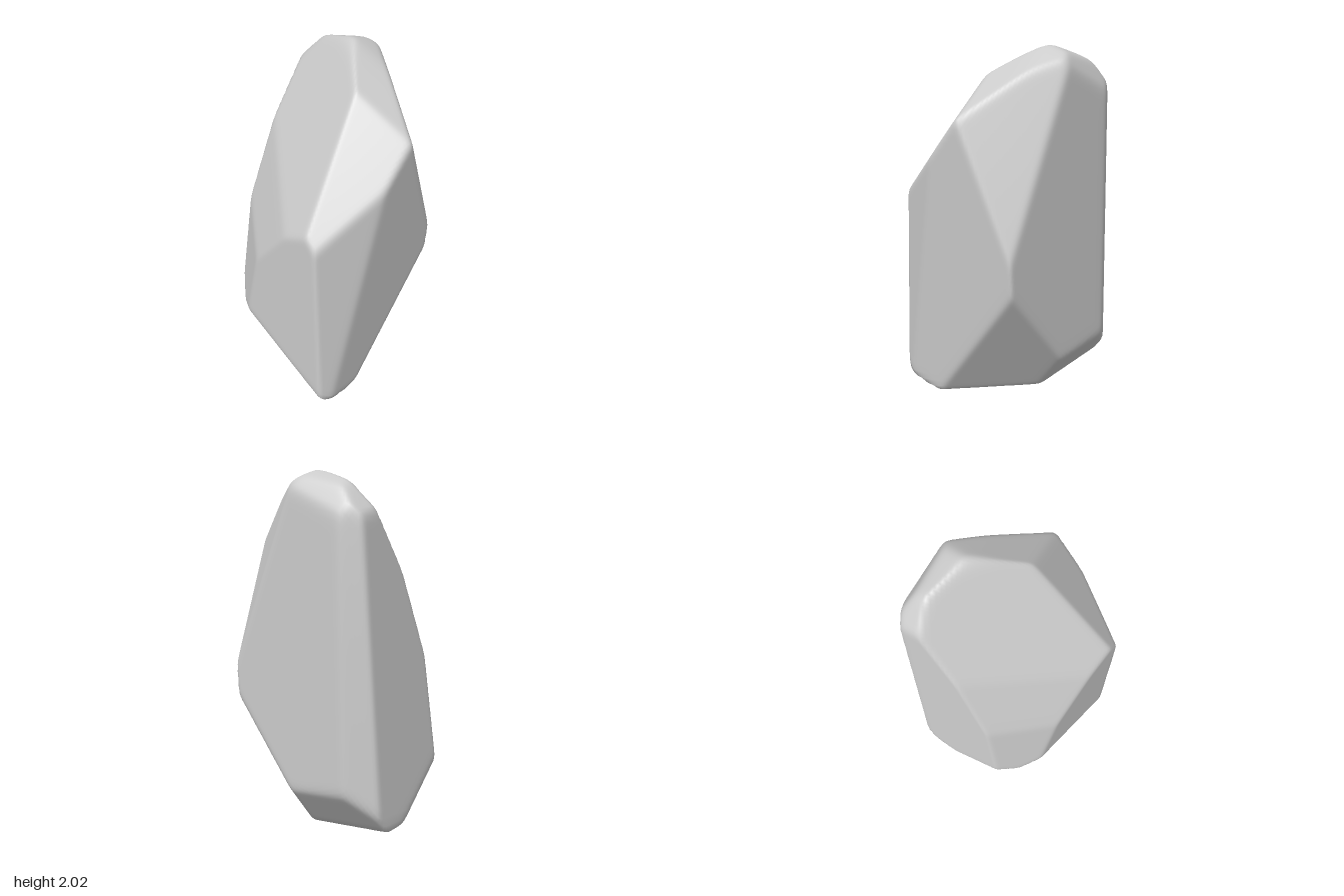
import * as THREE from 'three';
import { mergeVertices } from 'three/addons/utils/BufferGeometryUtils.js';

const CENTRE = new THREE.Vector3(0, 0.95, 0);
const SHARPNESS = 90; // higher gives crisper edges between facets

// Corners shared by several facets
const leftCorner = [-0.535, 0.37, 0.13];
const frontFoot = [0.32, 0.06, 0.515];
const frontShoulder = [0.28, 1.26, 0.505];
const frontKnee = [-0.33, 0.33, 0.35];
const rightShoulder = [0.535, 1.64, -0.03];
const waist = [0.52, 0.85, -0.35];
const backFoot = [0.11, 0.28, -0.475];
const underside = [0.15, 0, -0.26];
const apex = [0.02, 2.015, -0.28];
const leftCrown = [-0.24, 1.95, -0.32];
const rightBrow = [0.2, 1.79, 0.045];
const foreBrow = [0.13, 1.91, -0.06];

// Each facet is a plane through three points
const facets = [
  [frontFoot, frontShoulder, frontKnee], // lower front
  [leftCorner, frontKnee, [-0.46, 0.98, 0.09]], // lower front left
  [[-0.455, 0.97, 0.095], [-0.415, 1.31, -0.04], [-0.1, 0.92, 0.425]], // middle front left
  [frontShoulder, rightBrow, [-0.4, 1.4, -0.06]], // leaning upper front
  [[0.18, 1.63, 0.185], rightBrow, rightShoulder], // right slope
  [[0.06, 1.99, -0.25], rightShoulder, foreBrow], // upper right slope
  [frontFoot, frontShoulder, [0.43, 1.35, 0.27]], // front right bevel
  [[0.39, 0.3, 0.4], rightShoulder, waist], // right side
  [[0.515, 0.98, -0.34], rightShoulder, [0.1, 1.91, -0.43]], // upper back right
  [[0.52, 0.73, -0.35], backFoot, [0.44, 0.27, 0]], // lower back right
  [[-0.25, 1.7, -0.515], [0.51, 0.87, -0.365], [-0.25, 0.4, -0.515]], // back
  [[-0.44, 0.3, -0.45], [-0.35, 1.75, -0.465], [-0.28, 0.4, -0.515]], // back left bevel
  [leftCorner, [-0.445, 0.3, -0.46], [-0.355, 1.75, -0.48]], // left side
  [leftCorner, [-0.395, 0.12, 0.146], [-0.465, 0.1, -0.1]], // lower left
  [frontKnee, frontFoot, [-0.17, 0.05, 0.24]], // front undercut
  [backFoot, [-0.4, 0.24, -0.5], underside], // back undercut
  [[0.3, -0.01, 0.4], [-0.43, 0.07, 0.1], underside], // base
  [[0.3, 0.04, 0.505], [0.3, -0.01, 0.33], [0, 0.02, 0.33]], // base front
  [[-0.355, 1.8, -0.36], leftCrown, [-0.3, 1.8, -0.49]], // top left
  [apex, leftCrown, [0, 1.96, -0.42]], // crown
  [apex, leftCrown, foreBrow], // crown front
  [apex, [0.13, 1.955, -0.25], [0.1, 1.935, -0.42]], // crown right
  [[0, 1.95, -0.42], [-0.2, 1.9, -0.44], [0, 1.78, -0.505]], // crown back
].map((points) => {
  const plane = new THREE.Plane().setFromCoplanarPoints(
    ...points.map((p) => new THREE.Vector3(...p).sub(CENTRE)));
  if (plane.constant > 0) plane.negate(); // normals point outwards
  return { normal: plane.normal, distance: -plane.constant };
});

// Distance from the centre to the softened facets along a direction
function radius(direction) {
  let sum = 0;
  for (const { normal, distance } of facets) {
    sum += Math.max(0, normal.dot(direction) / distance) ** SHARPNESS;
  }
  return sum ** (-1 / SHARPNESS);
}

function rockGeometry() {
  let geometry = new THREE.IcosahedronGeometry(1, 48);
  geometry.deleteAttribute('uv');
  geometry.deleteAttribute('normal');
  geometry = mergeVertices(geometry, 1e-5);
  const position = geometry.attributes.position;
  const v = new THREE.Vector3();
  for (let i = 0; i < position.count; i++) {
    v.fromBufferAttribute(position, i);
    v.set(v.x * 0.5, v.y, v.z * 0.5).normalize(); // even spacing on a tall form
    v.multiplyScalar(radius(v)).add(CENTRE);
    position.setXYZ(i, v.x, v.y, v.z);
  }
  // Stand it on the ground
  geometry.computeBoundingBox();
  geometry.translate(0, -geometry.boundingBox.min.y, 0);
  geometry.computeVertexNormals();
  return geometry;
}

export function createModel() {
  const group = new THREE.Group();
  group.name = 'boulder';
  const rock = new THREE.Mesh(rockGeometry(), new THREE.MeshStandardMaterial({ color: 0xcccccc }));
  rock.name = 'rock';
  group.add(rock);
  return group;
}
